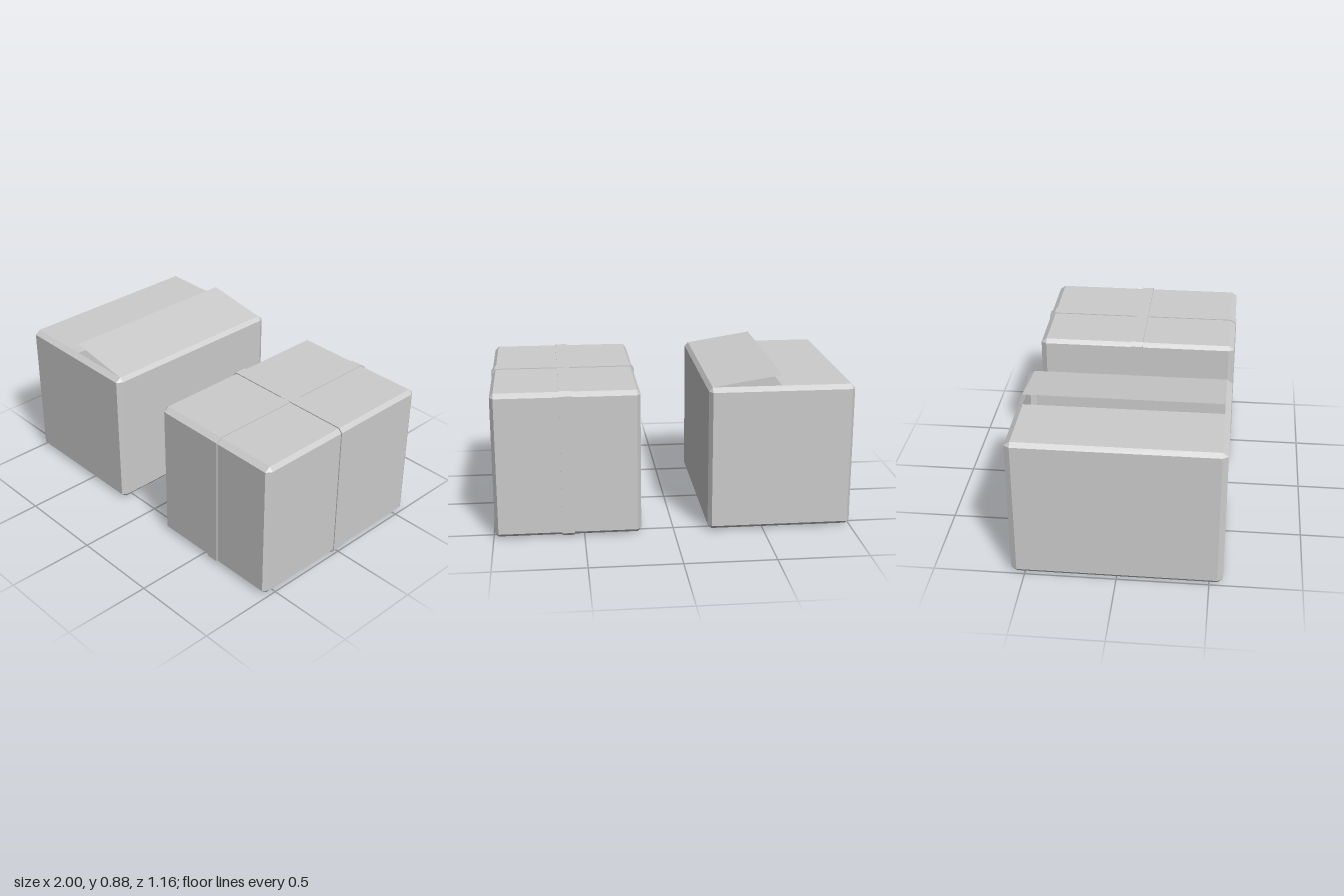
import * as THREE from 'three';

const HX = 0.405, HZ = 0.574;             // half width and half depth of a carton
const CX = 0.02, CY = 0.023, CZ = 0.031;  // chamfer along each axis
const Y0 = 0.006, Y1 = 0.825;             // bottom and top

const mat = new THREE.MeshStandardMaterial({ color: 0xcccccc, flatShading: true, side: THREE.DoubleSide });

function add(parent, name, geometry) {
  const mesh = new THREE.Mesh(geometry, mat);
  mesh.name = name;
  parent.add(mesh);
  return mesh;
}

// Eight points around the carton; `cap` pulls them in to the four cap corners
function ring(y, cap) {
  const ix = HX - CX, iz = HZ - CZ;
  const ox = cap ? ix : HX, oz = cap ? iz : HZ;
  return [[ox, iz], [ox, -iz], [ix, -oz], [-ix, -oz], [-ox, -iz], [-ox, iz], [-ix, oz], [ix, oz]]
    .map(([x, z]) => new THREE.Vector3(x, y, z));
}

// Chamfered carton shell, with its top closed or left open
function cartonGeometry(closed) {
  const rings = [ring(Y0, true), ring(Y0 + CY, false), ring(Y1 - CY, false), ring(Y1, true)];
  const pos = [];
  const tri = (a, b, c) => {
    if (a.equals(b) || b.equals(c) || a.equals(c)) return;
    for (const p of [a, b, c]) pos.push(p.x, p.y, p.z);
  };
  const quad = (a, b, c, d) => { tri(a, b, c); tri(a, c, d); };
  for (let r = 0; r < 3; r++) {
    for (let i = 0; i < 8; i++) {
      const j = (i + 1) % 8;
      quad(rings[r][i], rings[r][j], rings[r + 1][j], rings[r + 1][i]);
    }
  }
  const b = rings[0], t = rings[3];
  quad(b[6], b[4], b[2], b[0]);
  if (closed) quad(t[0], t[2], t[4], t[6]);
  const g = new THREE.BufferGeometry();
  g.setAttribute('position', new THREE.Float32BufferAttribute(pos, 3));
  g.computeVertexNormals();
  return g;
}

// Chamfered outline of the carton's section, grown by t
function outline(half, c, t) {
  const h = half + t, lo = Y0 - t, hi = Y1 + t;
  return [[h, lo + CY], [h, hi - CY], [h - c, hi], [c - h, hi], [-h, hi - CY], [-h, lo + CY], [c - h, lo], [h - c, lo]]
    .map(([x, y]) => new THREE.Vector2(x, y));
}

// Tape band wrapped once around the carton
function tapeGeometry(half, c, t, width) {
  const shape = new THREE.Shape(outline(half, c, t));
  shape.holes.push(new THREE.Path(outline(half, c, 0)));
  return new THREE.ExtrudeGeometry(shape, { depth: width, bevelEnabled: false }).translate(0, 0, -width / 2);
}

// Lid flap running from x = xa to x = xb, tilted up between ya and yb
function addFlap(parent, name, xa, ya, xb, yb) {
  const length = Math.hypot(xb - xa, yb - ya);
  const g = new THREE.PlaneGeometry(length, 2 * (HZ - CZ)).rotateX(-Math.PI / 2);
  const flap = add(parent, name, g);
  flap.position.set((xa + xb) / 2, (ya + yb) / 2, 0);
  flap.rotation.z = Math.atan2(yb - ya, xb - xa);
}

export function createModel() {
  const model = new THREE.Group();
  model.name = 'cartons';

  // Open carton: one flap lies flat, the other is lifted
  const open = new THREE.Group();
  open.name = 'openCarton';
  open.position.x = -0.595;
  add(open, 'openCartonShell', cartonGeometry(false));
  addFlap(open, 'flatFlap', -(HX - CX), Y1, 0.003, Y1);
  addFlap(open, 'raisedFlap', 0.003, 0.885, HX - CX, Y1);
  model.add(open);

  // Closed carton with two crossing bands of tape
  const sealed = new THREE.Group();
  sealed.name = 'sealedCarton';
  sealed.position.x = 0.588;
  add(sealed, 'sealedCartonShell', cartonGeometry(true));
  add(sealed, 'crosswiseTape', tapeGeometry(HX, CX, 0.006, 0.07));
  add(sealed, 'lengthwiseTape', tapeGeometry(HZ, CZ, 0.005, 0.07)).rotation.y = Math.PI / 2;
  model.add(sealed);

  return model;
}
